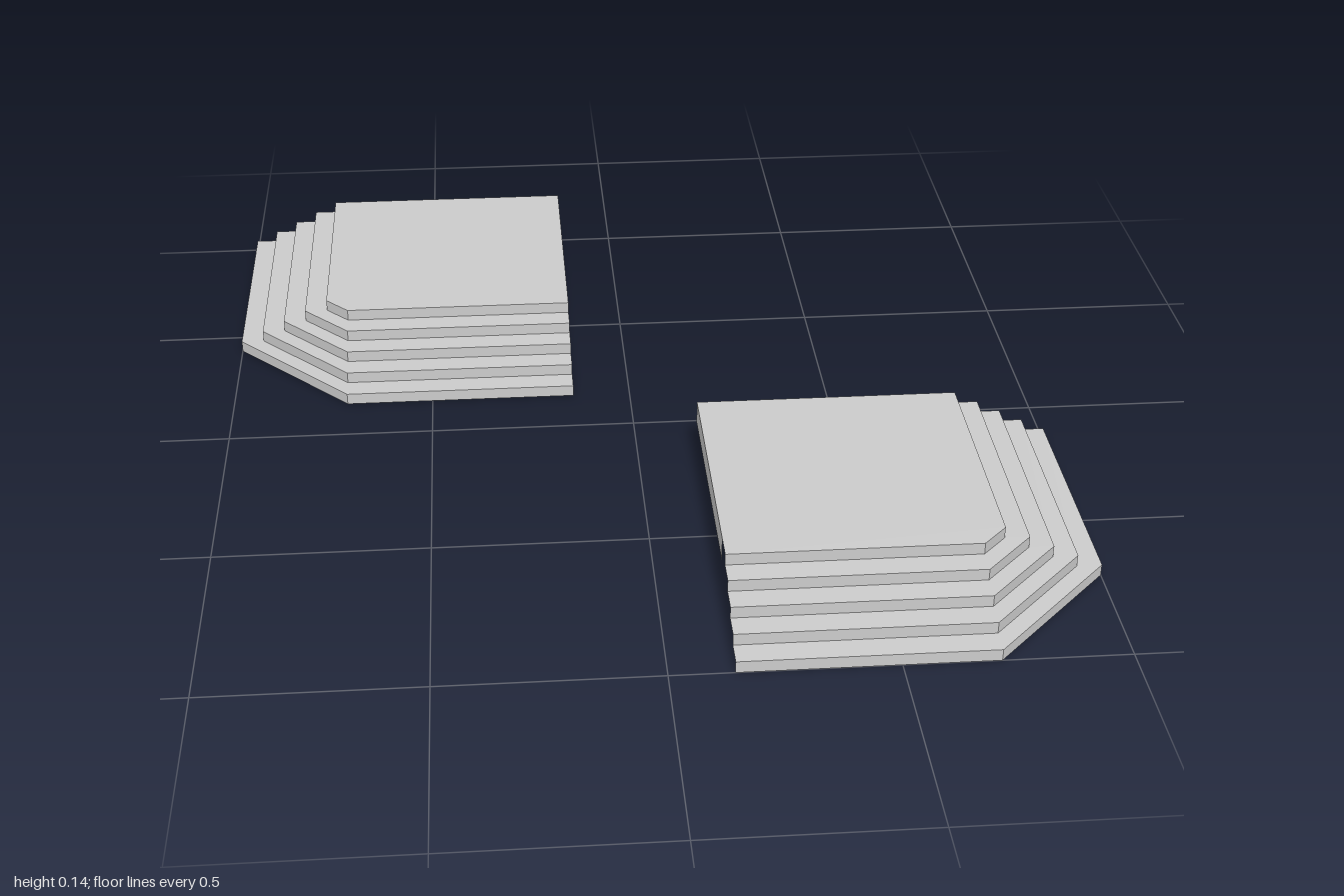
import * as THREE from 'three';

const L = 4 / 7;        // straight run of each stair side
const TREAD = 2 / 35;   // depth of one step
const RISE = 1 / 35;    // height of one step
const STEPS = 5;

const material = new THREE.MeshStandardMaterial({
  color: 0xcccccc, flatShading: true, side: THREE.DoubleSide,
});

function part(name, geometry) {
  const mesh = new THREE.Mesh(geometry, material);
  mesh.name = name;
  return mesh;
}

// Zigzag step profile swept along one side, across the chamfer, along the other side
function stepsGeometry() {
  const profile = [];
  for (let i = 0; i < STEPS; i++) {
    const r = TREAD * (i + 1);
    profile.push([r, RISE * (STEPS - i)], [r, RISE * (STEPS - i - 1)]);
  }
  const stations = [
    (r, y) => [-L, y, r],
    (r, y) => [0, y, r],
    (r, y) => [r, y, 0],
    (r, y) => [r, y, -L],
  ];
  const positions = [];
  for (let s = 0; s < stations.length - 1; s++) {
    for (let k = 0; k < profile.length - 1; k++) {
      const a = stations[s](...profile[k]);
      const b = stations[s](...profile[k + 1]);
      const c = stations[s + 1](...profile[k + 1]);
      const d = stations[s + 1](...profile[k]);
      positions.push(...a, ...b, ...c, ...a, ...c, ...d);
    }
  }
  const geometry = new THREE.BufferGeometry();
  geometry.setAttribute('position', new THREE.Float32BufferAttribute(positions, 3));
  geometry.computeVertexNormals();
  return geometry;
}

// Flat top with one chamfered corner
function platformGeometry() {
  const r = TREAD;
  const shape = new THREE.Shape(
    [[-L, -r], [0, -r], [r, 0], [r, L], [-L, L]].map(([x, y]) => new THREE.Vector2(x, y)));
  return new THREE.ShapeGeometry(shape).rotateX(-Math.PI / 2).translate(0, RISE * STEPS, 0);
}

function cornerStair(name) {
  const group = new THREE.Group();
  group.name = name;
  group.add(part('steps', stepsGeometry()), part('platform', platformGeometry()));

  // Short skirts under the two inner platform edges
  const height = 2 * RISE;
  const y = RISE * STEPS - height / 2;
  const sideSkirt = part('sideSkirt', new THREE.PlaneGeometry(L, height));
  sideSkirt.rotation.y = -Math.PI / 2;
  sideSkirt.position.set(-L, y, -L / 2);
  const backSkirt = part('backSkirt', new THREE.PlaneGeometry(L, height));
  backSkirt.rotation.y = Math.PI;
  backSkirt.position.set(-L / 2, y, -L);
  group.add(sideSkirt, backSkirt);
  return group;
}

export function createModel() {
  const model = new THREE.Group();
  model.name = 'cornerStairs';

  const front = cornerStair('frontCornerStair');
  front.position.set(5 / 7, 0, 5 / 7);

  const back = cornerStair('backCornerStair');
  back.rotation.y = -Math.PI / 2;
  back.position.set(-5 / 7, 0, -3 / 7);

  model.add(front, back);
  return model;
}
